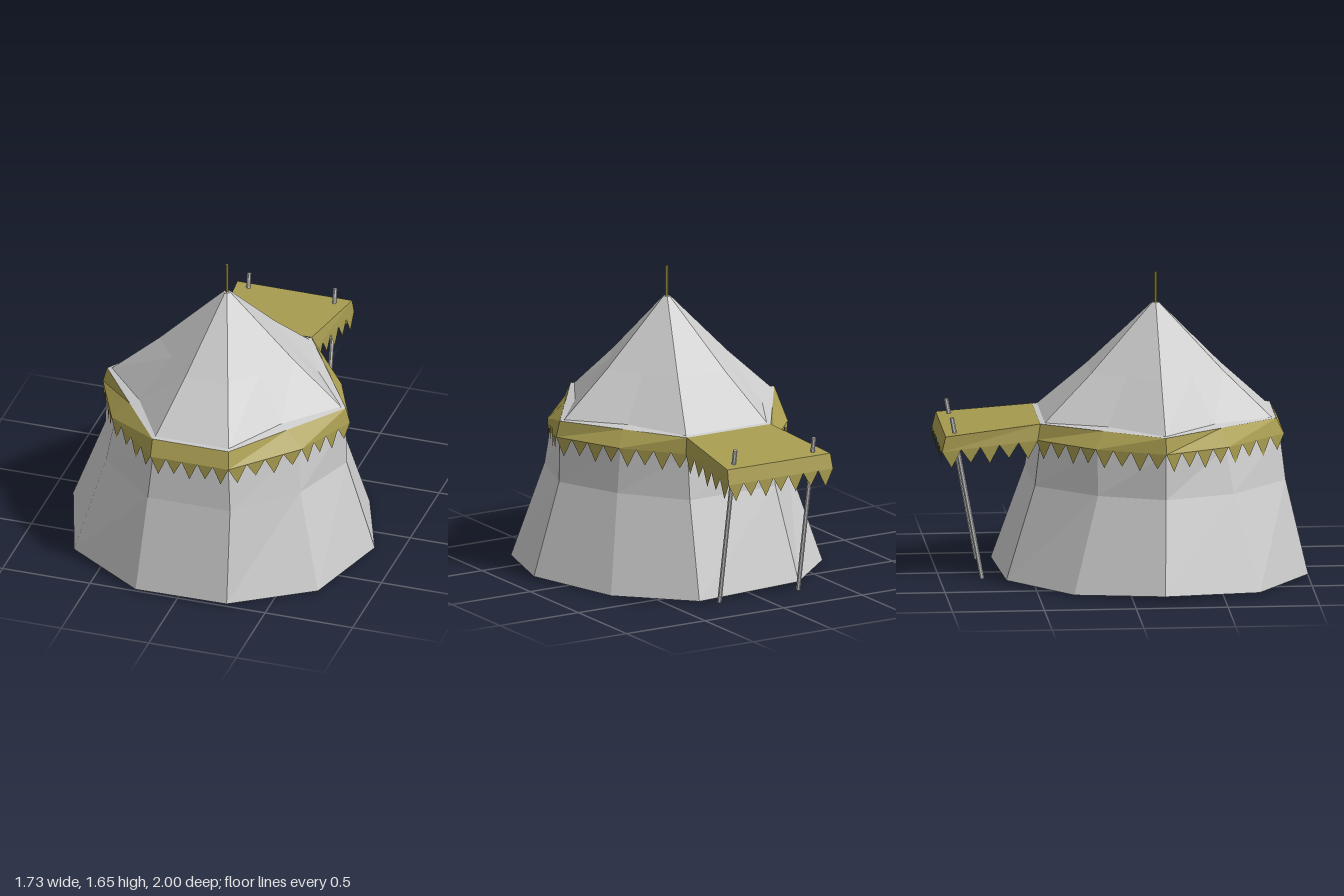
import * as THREE from 'three';

const canvas = new THREE.MeshStandardMaterial({ color: 0xcccccc, flatShading: true, side: THREE.DoubleSide });
const trimMat = new THREE.MeshStandardMaterial({ color: 0xa89c50, flatShading: true, side: THREE.DoubleSide });
const AXIS = [0.015, 0.19];

function meshFrom(tris, material, name) {
  const g = new THREE.BufferGeometry();
  g.setAttribute('position', new THREE.Float32BufferAttribute(tris.flat(), 3));
  g.computeVertexNormals();
  const m = new THREE.Mesh(g, material);
  m.name = name;
  return m;
}

const quad = (a, b, c, d) => [a, b, c, a, c, d];
const mix = (a, b, t) => a.map((v, i) => v + (b[i] - v) * t);

// Joins closed rings of points, listed from bottom to top
function loft(rings, material, name) {
  const tris = [];
  for (let r = 0; r + 1 < rings.length; r++) {
    const lo = rings[r], hi = rings[r + 1], n = lo.length;
    for (let i = 0; i < n; i++) {
      const j = (i + 1) % n;
      tris.push(...quad(lo[i], lo[j], hi[j], hi[i]));
    }
  }
  return meshFrom(tris, material, name);
}

// Ring from [x, z] pairs at one height
const ring = (pairs, y) => pairs.map(([x, z]) => [x, y, z]);

// Shrinks a ring of [x, z] pairs toward the tent axis
const scaled = (pairs, s) => pairs.map(p => p.map((v, i) => AXIS[i] + (v - AXIS[i]) * s));

// Cloth strip with a row of pointed teeth below it
function valance(topA, topB, botA, botB, teeth, drop) {
  const tris = quad(botA, botB, topB, topA);
  for (let i = 0; i < teeth; i++) {
    const a = mix(botA, botB, i / teeth), b = mix(botA, botB, (i + 1) / teeth);
    const tip = mix(a, b, 0.5);
    tip[1] -= drop * (i % 2 ? 0.88 : 1.06);
    tris.push(a, tip, b);
  }
  return tris;
}

function rod(from, to, radius, material, name) {
  const a = new THREE.Vector3(...from), b = new THREE.Vector3(...to);
  const m = new THREE.Mesh(new THREE.CylinderGeometry(radius, radius, a.distanceTo(b), 6), material);
  m.position.copy(a).add(b).multiplyScalar(0.5);
  m.quaternion.setFromUnitVectors(new THREE.Vector3(0, 1, 0), b.sub(a).normalize());
  m.name = name;
  return m;
}

export function createModel() {
  const tent = new THREE.Group();
  tent.name = 'pavilionTent';

  // Ten-sided outlines, starting at the front edge
  const base = [[-0.24, 1], [0.28, 1], [0.70, 0.69], [0.86, 0.19], [0.67, -0.30],
    [0.34, -0.68], [-0.31, -0.65], [-0.67, -0.31], [-0.87, 0.17], [-0.69, 0.70]];
  const waist = [[-0.21, 0.88], [0.26, 0.88], [0.56, 0.57], [0.70, 0.19], [0.55, -0.17],
    [0.29, -0.50], [-0.26, -0.49], [-0.54, -0.17], [-0.68, 0.19], [-0.55, 0.57]];
  const shoulder = [[-0.19, 0.85], [0.24, 0.85], [0.54, 0.53], [0.695, 0.19], [0.53, -0.17],
    [0.28, -0.46], [-0.25, -0.46], [-0.51, -0.17], [-0.67, 0.19], [-0.51, 0.53]];
  const eave = [[-0.20, 0.83], [0.235, 0.83], [0.465, 0.51], [0.695, 0.19], [0.49, -0.135],
    [0.285, -0.46], [-0.25, -0.46], [-0.46, -0.135], [-0.67, 0.19], [-0.435, 0.51]];

  // Flared walls with a slightly uneven hem
  const hem = [0.01, 0.015, 0, 0.02, 0.0, 0.01, 0.02, 0.01, 0.035, 0.01];
  tent.add(loft([base.map(([x, z], i) => [x, hem[i], z]), ring(waist, 0.53),
    ring(shoulder, 0.78), ring(scaled(eave, 0.98), 0.865)], canvas, 'walls'));

  // Roof: lip, sagging panels, ridge points, small crown
  const sag = i => i % 5 === 2 || i % 5 === 4; // middles of the four long sides
  const panels = scaled(eave, 0.96).map(([x, z], i) =>
    sag(i) ? [AXIS[0] + (x - AXIS[0]) * 0.94, 0.885, AXIS[1] + (z - AXIS[1]) * 0.94] : [x, 0.875, z]);
  tent.add(loft([ring(eave, 0.87), panels, ring(scaled(eave, 0.56), 1.12),
    ring(scaled(eave, 0.03), 1.48), ring(scaled(eave, 0.001), 1.482)], canvas, 'roof'));
  tent.add(rod([AXIS[0], 1.42, AXIS[1]], [AXIS[0], 1.65, AXIS[1]], 0.009, trimMat, 'topPole'));

  // Trim band around all sides but the back, where the awning joins
  const top = ring(eave, 0.872), bottom = ring(scaled(shoulder, 1.035), 0.785);
  const band = [];
  for (let i = 0; i < 10; i++) {
    if (i === 5) continue;
    const j = (i + 1) % 10;
    band.push(...valance(top[i], top[j], bottom[i], bottom[j], i === 0 ? 5 : 4, 0.095));
  }
  tent.add(meshFrom(band, trimMat, 'trimBand'));

  // Awning cloth with valances on its three free sides
  const nearL = [0.285, 0.872, -0.46], nearR = [-0.25, 0.872, -0.46];
  const farL = [0.345, 0.822, -0.98], farR = [-0.31, 0.822, -0.98];
  const lowNearL = [0.30, 0.785, -0.475], lowNearR = [-0.27, 0.785, -0.475];
  const lowFarL = [0.35, 0.74, -1.0], lowFarR = [-0.315, 0.74, -1.0];
  tent.add(meshFrom([
    ...quad(nearR, nearL, farL, farR),
    ...valance(nearL, farL, lowNearL, lowFarL, 5, 0.09),
    ...valance(farL, farR, lowFarL, lowFarR, 7, 0.09),
    ...valance(farR, nearR, lowFarR, lowNearR, 5, 0.09),
  ], trimMat, 'awning'));

  // Leaning awning poles
  tent.add(rod([0.265, 0.015, -0.765], [0.265, 0.91, -0.93], 0.012, canvas, 'awningPoleLeft'));
  tent.add(rod([-0.23, 0.015, -0.775], [-0.23, 0.91, -0.94], 0.012, canvas, 'awningPoleRight'));
  return tent;
}
